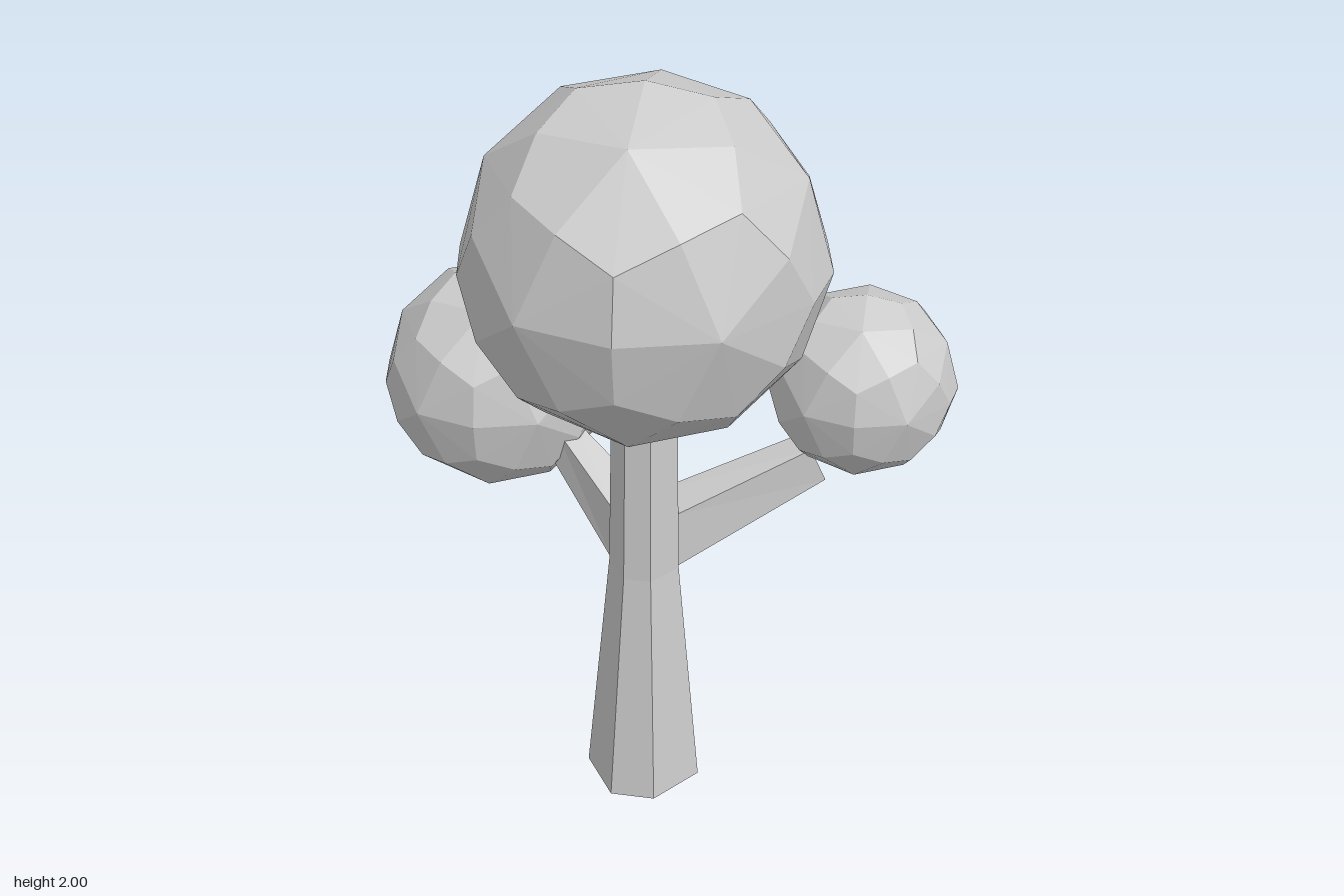
import * as THREE from 'three';

const material = new THREE.MeshStandardMaterial({
  color: 0xcccccc, flatShading: true, roughness: 0.9,
});

function makeMesh(name, points) {
  const geometry = new THREE.BufferGeometry().setFromPoints(points);
  geometry.computeVertexNormals();
  const mesh = new THREE.Mesh(geometry, material);
  mesh.name = name;
  return mesh;
}

// Skin a row of matching rings (counterclockwise seen from the far end) and cap both ends.
function loft(name, rings) {
  const v = rings.map((ring) => ring.map((p) => new THREE.Vector3(...p)));
  const n = v[0].length, tris = [];
  for (let r = 0; r < v.length - 1; r++) {
    for (let i = 0; i < n; i++) {
      const j = (i + 1) % n, a = v[r], b = v[r + 1];
      tris.push(a[i], a[j], b[j], a[i], b[j], b[i]);
    }
  }
  const first = v[0], last = v[v.length - 1];
  for (let i = 1; i < n - 1; i++) {
    tris.push(first[0], first[i + 1], first[i], last[0], last[i], last[i + 1]);
  }
  return makeMesh(name, tris);
}

// Faceted ball: every icosahedron triangle becomes three kites lying on the sphere.
function foliage(name, radius, x, y, z) {
  const pos = new THREE.IcosahedronGeometry(1, 0).attributes.position;
  const tris = [];
  for (let t = 0; t < pos.count; t += 3) {
    const c = [0, 1, 2].map((k) => new THREE.Vector3().fromBufferAttribute(pos, t + k));
    const mid = (a, b) => a.clone().add(b).setLength(radius);
    const centre = c[0].clone().add(c[1]).add(c[2]).setLength(radius);
    for (let k = 0; k < 3; k++) {
      const next = c[(k + 1) % 3], prev = c[(k + 2) % 3];
      const corner = c[k].clone().setLength(radius);
      tris.push(corner, mid(c[k], next), centre, corner, centre, mid(c[k], prev));
    }
  }
  const mesh = makeMesh(name, tris);
  // Turn so that one five-way corner faces the front.
  mesh.rotation.y = -THREE.MathUtils.degToRad(58.28);
  mesh.position.set(x, y, z);
  return mesh;
}

export function createModel() {
  const tree = new THREE.Group();
  tree.name = 'tree';

  // Six-sided trunk, tapering up to the fork and nearly straight above it
  const base = [[0.14, 0.26], [0.24, 0.2], [0.26, 0.04], [0.1, -0.035], [0, 0.04], [-0.005, 0.19]];
  const cx = 0.13, cz = 0.113;
  const trunkRing = (y, s) => base.map(([x, z]) => [cx + (x - cx) * s, y, cz + (z - cz) * s]);
  tree.add(loft('trunk', [trunkRing(0, 1), trunkRing(0.67, 0.6), trunkRing(1.25, 0.54)]));

  // Four-sided branches growing out of the fork
  tree.add(loft('leftBranch', [
    [[0.2, 0.67, 0.07], [0.08, 0.67, 0.045], [0.08, 0.83, 0.045], [0.2, 0.83, 0.07]],
    [[0.42, 0.87, -0.26], [0.34, 0.88, -0.3], [0.33, 0.97, -0.26], [0.4, 0.97, -0.22]],
  ]));
  tree.add(loft('rightBranch', [
    [[0.08, 0.67, 0.045], [0.055, 0.67, 0.155], [0.055, 0.83, 0.155], [0.08, 0.83, 0.045]],
    [[-0.2, 0.88, 0.05], [-0.2, 0.88, 0.12], [-0.17, 0.96, 0.12], [-0.17, 0.96, 0.05]],
  ]));

  // Crown and the two smaller balls of leaves
  tree.add(foliage('crown', 0.45, 0.13, 1.55, 0.115));
  tree.add(foliage('rightFoliage', 0.3, -0.405, 1.03, 0.085));
  tree.add(foliage('leftFoliage', 0.24, 0.463, 1.15, -0.335));
  return tree;
}
